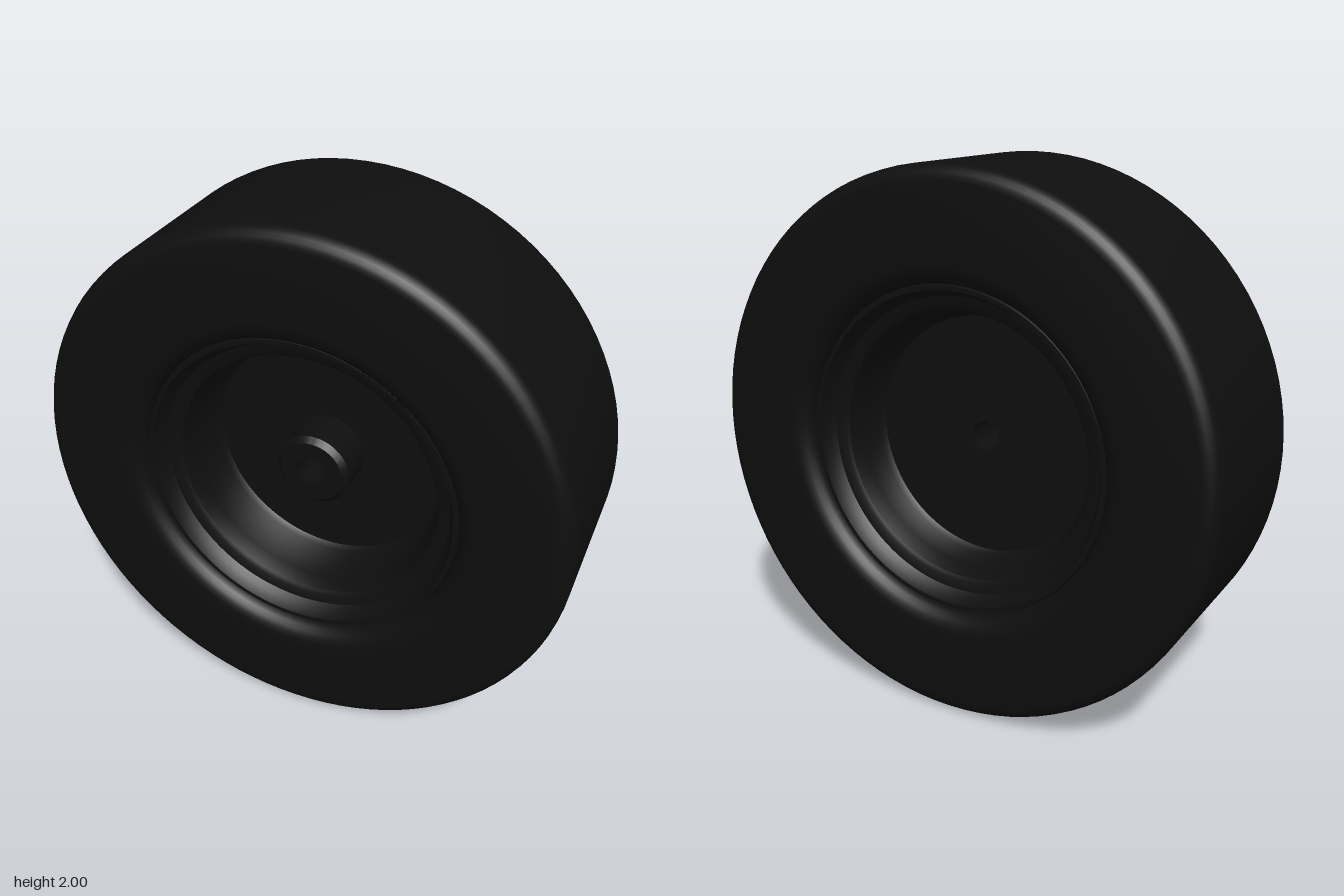
import * as THREE from 'three';
import { toCreasedNormals } from 'three/addons/utils/BufferGeometryUtils.js';

const black = new THREE.MeshStandardMaterial({ color: 0x0e0e0e });
black.name = 'black';

// Closed counter-clockwise (radius, depth) profile, spun around the z axle
function spin(name, points) {
  const profile = points.map(([r, z]) => new THREE.Vector2(r, z));
  profile.push(profile[0].clone());
  const geometry = new THREE.LatheGeometry(profile, 96);
  geometry.rotateX(Math.PI / 2);
  const mesh = new THREE.Mesh(toCreasedNormals(geometry, 0.6), black);
  mesh.name = name;
  return mesh;
}

// Quarter-ellipse points between angles a0 and a1
function arc(r, z, rr, rz, a0, a1, n = 6) {
  return Array.from({ length: n + 1 }, (_, i) => {
    const a = a0 + ((a1 - a0) * i) / n;
    return [r + rr * Math.cos(a), z + rz * Math.sin(a)];
  });
}

const mirror = (points) => points.map(([r, z]) => [r, -z]).reverse();

export function createModel() {
  const wheel = new THREE.Group();
  wheel.name = 'wheel';
  const H = Math.PI / 2;

  // Tyre: rounded shoulders, flat sidewalls, soft inner edge
  const tyreFront = [
    ...arc(0.945, 0.295, 0.055, 0.06, 0, H),
    ...arc(0.68, 0.285, 0.08, 0.07, H, 2 * H),
  ];
  wheel.add(spin('tyre', [...mirror(tyreFront), ...tyreFront]));

  // Rim: stepped lip and deep barrel on both sides of a central disc
  const lip = [
    [0.602, 0.285], [0.595, 0.3], [0.58, 0.3],
    [0.567, 0.26], [0.55, 0.24], [0.515, 0.235], [0.5, 0.225],
    [0.48, 0.17],
  ];
  const frontFloor = [[0.465, 0.02], [0.45, 0], [0.056, 0]];
  const backFloor = [[0.056, -0.06], [0.45, -0.06], [0.465, -0.08]];
  wheel.add(spin('rim', [...mirror(lip), ...lip, ...frontFloor, ...backFloor]));

  // Axle hub standing out of the front of the disc
  wheel.add(spin('hub', [
    [0.14, -0.03], [0.14, 0.15], [0.12, 0.17], [0.056, 0.17], [0.056, -0.03],
  ]));

  wheel.position.y = 1;
  const model = new THREE.Group();
  model.name = 'wheelModel';
  model.add(wheel);
  return model;
}
